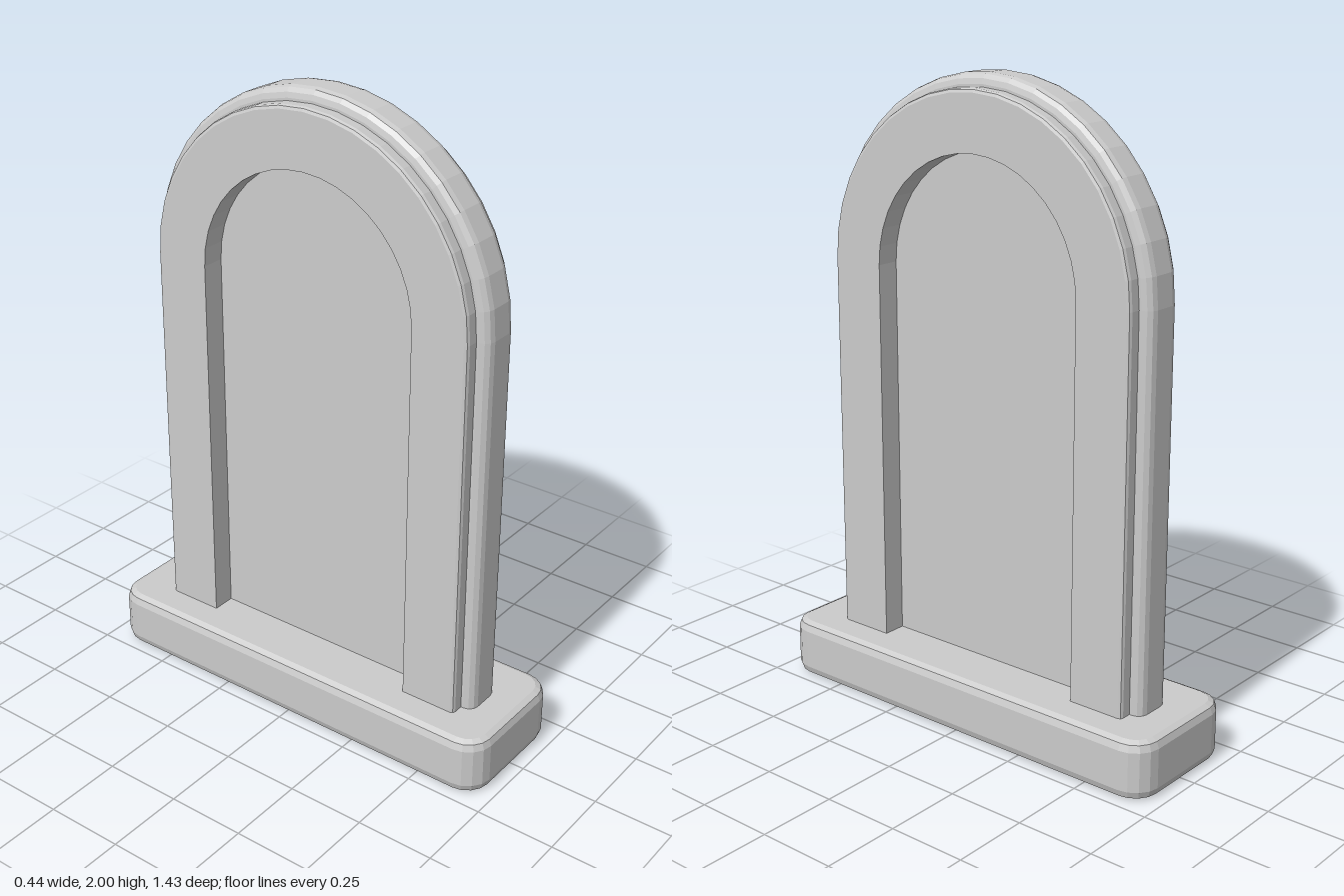
import * as THREE from 'three';

const SPRING = 1.4; // height where the arch begins
const FOOT = 0.1;   // lower ends, buried in the base
const STEPS = 20;
const material = new THREE.MeshStandardMaterial({ color: 0xcccccc, flatShading: true });

function part(name, geometry) {
  const mesh = new THREE.Mesh(geometry, material);
  mesh.name = name;
  return mesh;
}

// Sweeps a symmetric section up one side, round the arch and down the other.
// half: [x, radius] points of the +x half, from the inner to the outer edge.
function sweepArch(half) {
  const section = [...half, ...half.map(([x, r]) => [-x, r]).reverse()];
  const stations = [[0, FOOT]];
  for (let i = 0; i <= STEPS; i++) stations.push([Math.PI * i / STEPS, SPRING]);
  stations.push([Math.PI, FOOT]);
  const positions = [], index = [], n = section.length;
  stations.forEach(([angle, y], i) => {
    section.forEach(([x, r], j) => {
      positions.push(x, y + r * Math.sin(angle), r * Math.cos(angle));
      if (i === stations.length - 1) return;
      const a = i * n + j, b = i * n + (j + 1) % n;
      index.push(a, a + n, b, b, a + n, b + n);
    });
  });
  const indexed = new THREE.BufferGeometry();
  indexed.setAttribute('position', new THREE.Float32BufferAttribute(positions, 3));
  indexed.setIndex(index);
  const geometry = indexed.toNonIndexed();
  geometry.computeVertexNormals();
  return geometry;
}

// Half section whose outer corner is rounded
function roundedHalf(halfWidth, inner, outer, radius, segments) {
  const points = [[halfWidth, inner]];
  for (let i = 0; i <= segments; i++) {
    const a = Math.PI / 2 * i / segments;
    points.push([halfWidth - radius + radius * Math.cos(a), outer - radius + radius * Math.sin(a)]);
  }
  return points;
}

function basePlinth() {
  const w = 0.195, d = 0.69, r = 0.06, bevel = 0.03;
  const shape = new THREE.Shape();
  shape.moveTo(w, -d + r);
  shape.absarc(w - r, d - r, r, 0, Math.PI / 2);
  shape.absarc(-w + r, d - r, r, Math.PI / 2, Math.PI);
  shape.absarc(-w + r, -d + r, r, Math.PI, Math.PI * 1.5);
  shape.absarc(w - r, -d + r, r, Math.PI * 1.5, Math.PI * 2);
  const geometry = new THREE.ExtrudeGeometry(shape, {
    depth: 0.185 - 2 * bevel, curveSegments: 2,
    bevelThickness: bevel, bevelSize: 0.025, bevelSegments: 2,
  });
  return geometry.rotateX(-Math.PI / 2).translate(0, bevel, 0);
}

function recessedPanel() {
  const r = 0.45, halfWidth = 0.035;
  const shape = new THREE.Shape();
  shape.moveTo(-r, FOOT);
  shape.lineTo(r, FOOT);
  shape.absarc(0, SPRING, r, 0, Math.PI);
  const geometry = new THREE.ExtrudeGeometry(shape, {
    depth: 2 * halfWidth, curveSegments: STEPS, bevelEnabled: false,
  });
  return geometry.translate(0, 0, -halfWidth).rotateY(Math.PI / 2);
}

export function createModel() {
  const model = new THREE.Group();
  model.name = 'archedSlab';
  model.add(
    part('base', basePlinth()),
    // Frame standing proud of the panel on both faces
    part('archFrame', sweepArch(roundedHalf(0.11, 0.375, 0.56, 0.012, 2))),
    // Rounded band around the outside of the frame
    part('outerRim', sweepArch(roundedHalf(0.067, 0.5, 0.6, 0.032, 3))),
    part('recessedPanel', recessedPanel()),
  );
  return model;
}
